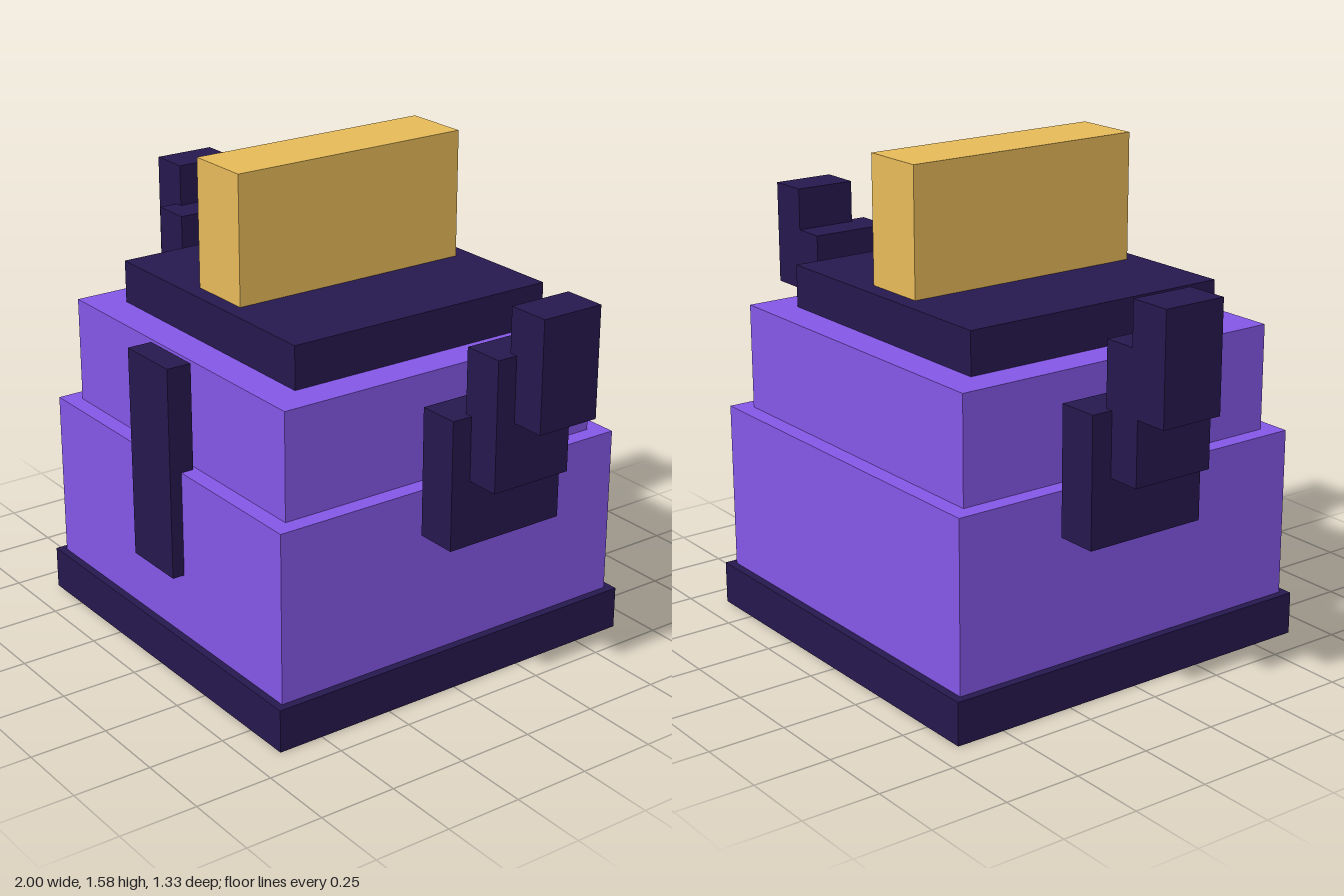
import * as THREE from 'three';

const mat = (name, color) => {
  const m = new THREE.MeshStandardMaterial({ color });
  m.name = name;
  return m;
};

export function createModel() {
  const model = new THREE.Group();
  model.name = 'toaster';
  const purple = mat('purple', 0x8658ea);
  const dark = mat('dark violet', 0x26184e);
  const gold = mat('toast gold', 0xe9bc5a);

  // Box given by its extents on each axis
  const block = (name, material, [x0, x1], [y0, y1], [z0, z1], parent = model) => {
    const mesh = new THREE.Mesh(new THREE.BoxGeometry(x1 - x0, y1 - y0, z1 - z0), material);
    mesh.position.set((x0 + x1) / 2, (y0 + y1) / 2, (z0 + z1) / 2);
    mesh.name = name;
    parent.add(mesh);
  };

  // Stepped body; its floor sits just below the base trim
  block('baseTrim', dark, [-0.656, 0.656], [0.001, 0.14], [-0.664, 0.65]);
  block('lowerBody', purple, [-0.63, 0.63], [0, 0.688], [-0.637, 0.625]);
  block('upperBody', purple, [-0.575, 0.575], [0.688, 1.03], [-0.582, 0.57]);
  block('topPlate', dark, [-0.465, 0.465], [1.03, 1.167], [-0.473, 0.457]);

  // Slice standing in the slot, and the lever panel on the front
  block('toastSlice', gold, [-0.11, 0.11], [1.167, 1.577], [-0.417, 0.405]);
  block('frontLever', dark, [-0.11, 0.11], [0.346, 1.03], [0.583, 0.665]);

  // Raised arms, three overlapping steps on each side
  const steps = [
    ['upperArm', [0.645, 0.78], [0.55, 0.96], [-0.282, 0.13]],
    ['forearm', [0.755, 0.89], [0.757, 1.165], [-0.212, 0.063]],
    ['hand', [0.863, 1], [0.96, 1.305], [-0.212, -0.003]],
  ];
  for (const side of [1, -1]) {
    const arm = new THREE.Group();
    arm.name = side > 0 ? 'leftArm' : 'rightArm';
    for (const [name, x, y, z] of steps) {
      block(name, dark, side > 0 ? x : [-x[1], -x[0]], y, z, arm);
    }
    model.add(arm);
  }
  return model;
}
